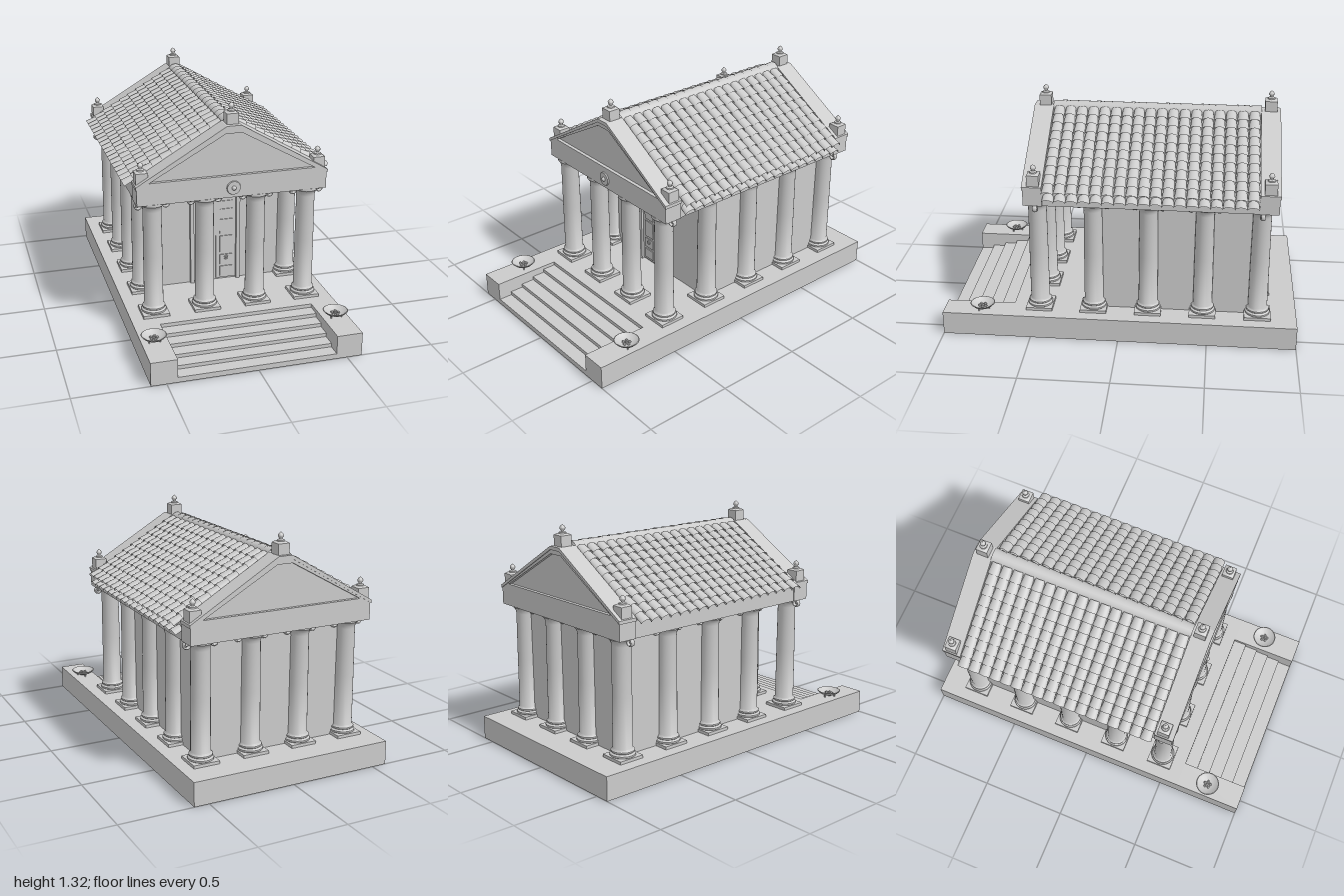
import * as THREE from 'three';
import { mergeGeometries, toCreasedNormals } from 'three/addons/utils/BufferGeometryUtils.js';

const stone = new THREE.MeshStandardMaterial({ color: 0xcccccc });
const thin = new THREE.MeshStandardMaterial({ color: 0xcccccc, side: THREE.DoubleSide });

const FLOOR = 0.135, FRONT = 0.52, BACK = -0.865, MID = (FRONT + BACK) / 2;
const SLOPE = Math.PI / 6;

export function createModel() {
  const root = new THREE.Group();

  const add = (name, geo, x = 0, y = 0, z = 0, parent = root, mat = stone) => {
    const m = new THREE.Mesh(geo, mat);
    m.name = name;
    m.position.set(x, y, z);
    parent.add(m);
    return m;
  };
  // Box given by its min and max corners
  const block = (name, x0, x1, y0, y1, z0, z1, parent = root) =>
    add(name, new THREE.BoxGeometry(x1 - x0, y1 - y0, z1 - z0),
      (x0 + x1) / 2, (y0 + y1) / 2, (z0 + z1) / 2, parent);
  const group = (name, x, y, z, parent = root) => {
    const g = new THREE.Group();
    g.name = name;
    g.position.set(x, y, z);
    parent.add(g);
    return g;
  };
  const lathe = (pts, seg = 24) => toCreasedNormals(
    new THREE.LatheGeometry(pts.map(p => new THREE.Vector2(...p)), seg), 0.7);
  const polygon = pts => new THREE.Shape(pts.map(p => new THREE.Vector2(...p)));
  const extrude = (shape, depth) => new THREE.ExtrudeGeometry(shape, { depth, bevelEnabled: false });

  // Podium with a stair cut into its front
  block('podium', -0.585, 0.585, 0, FLOOR, -1, 0.61);
  for (const s of [-1, 1]) block('stairCheek', s > 0 ? 0.44 : -0.585, s > 0 ? 0.585 : -0.44, 0, FLOOR, 0.61, 1);
  for (let i = 0; i < 5; i++)
    block('step', -0.44, 0.44, 0, 0.114 - i * 0.021, 0.61 + i * 0.078, 0.61 + (i + 1) * 0.078);

  // Inner chamber
  block('chamberWalls', -0.43, 0.43, FLOOR, 0.81, -0.775, 0.15);

  // Double door
  const door = group('door', 0, 0, 0.15);
  block('doorLintel', -0.15, 0.15, 0.655, 0.69, -0.01, 0.02, door);
  for (const s of [-1, 1]) {
    const span = (a, b) => (s > 0 ? [a, b] : [-b, -a]);
    block('doorJamb', ...span(0.128, 0.15), FLOOR, 0.655, -0.01, 0.02, door);
    block('doorLeaf', ...span(0.008, 0.126), FLOOR + 0.01, 0.65, -0.01, 0.008, door);
    [[0.6, 0.635], [0.535, 0.585], [0.43, 0.52], [0.31, 0.415], [0.235, 0.295], [0.16, 0.22]].forEach(([a, b]) =>
      block('doorPanel', ...span(0.03, 0.105), a, b, 0, 0.013, door));
    const ring = add('doorRing', new THREE.TorusGeometry(0.011, 0.003, 6, 16), s * 0.067, 0.275, 0.016, door);
    add('doorKnob', new THREE.SphereGeometry(0.006, 10, 8), 0, 0, 0, ring);
  }

  // Columns: plinth, moulded base, shaft, flared capital and a pair of scrolls
  const shaftGeo = lathe([[0, 0.015], [0.064, 0.015], [0.07, 0.02], [0.07, 0.029], [0.064, 0.034], [0.059, 0.037],
    [0.064, 0.041], [0.064, 0.049], [0.058, 0.053], [0.054, 0.06], [0.053, 0.35], [0.051, 0.615], [0.053, 0.63],
    [0.06, 0.645], [0.067, 0.652], [0.067, 0.667], [0, 0.667]]);
  const plinthGeo = new THREE.BoxGeometry(0.15, 0.017, 0.15);
  const scrollGeo = new THREE.TorusGeometry(0.017, 0.006, 8, 20).scale(1, 1, 2.2);
  const eyeGeo = new THREE.SphereGeometry(0.007, 10, 8);
  const column = (x, z, turned) => {
    const c = group('column', x, FLOOR, z);
    if (turned) c.rotation.y = Math.PI / 2;
    add('plinth', plinthGeo, 0, 0.0085, 0, c);
    add('shaft', shaftGeo, 0, 0, 0, c);
    for (const s of [-1, 1]) {
      add('scroll', scrollGeo, s * 0.077, 0.645, 0, c);
      add('scrollEye', eyeGeo, s * 0.077, 0.645, 0, c);
    }
  };
  const zs = [0.457, 0.148, -0.161, -0.47, -0.78];
  for (const x of [-0.44, -0.147, 0.147, 0.44]) {
    column(x, zs[0], false);
    column(x, zs[4], false);
  }
  for (const x of [-0.44, 0.44]) for (const z of zs.slice(1, 4)) column(x, z, true);

  // Entablature and roof core, in one pentagonal section
  const core = polygon([[-0.53, 0.8], [0.53, 0.8], [0.53, 0.895], [0.04, 1.185], [-0.04, 1.185], [-0.53, 0.895]]);
  add('entablatureAndRoof', extrude(core, FRONT - BACK - 0.04), 0, 0, BACK + 0.02);

  // Gable ends with a sunken triangle and a raking moulding
  const gable = polygon([[-0.535, 0.8], [0.535, 0.8], [0.535, 0.91], [0.04, 1.2], [-0.04, 1.2], [-0.535, 0.91]]);
  gable.holes.push(new THREE.Path([[-0.468, 0.925], [-0.045, 1.163], [0.045, 1.163], [0.468, 0.925]]
    .map(p => new THREE.Vector2(...p))));
  const rake = polygon([[-0.54, 0.91], [-0.54, 0.892], [-0.04, 1.186], [0.04, 1.186], [0.54, 0.892],
    [0.54, 0.91], [0.04, 1.206], [-0.04, 1.206]]);
  for (const [z0, out] of [[FRONT - 0.105, 0], [BACK, -0.005]]) {
    add('gable', extrude(gable, 0.105), 0, 0, z0);
    add('rakeMoulding', extrude(rake, 0.11), 0, 0, z0 + out);
  }

  // Round boss on the front beam
  const boss = group('boss', 0, 0.855, FRONT);
  add('bossDisc', new THREE.CylinderGeometry(0.037, 0.04, 0.008, 32).rotateX(Math.PI / 2), 0, 0, 0.003, boss);
  add('bossKnob', new THREE.SphereGeometry(0.013, 16, 10), 0, 0, 0.007, boss);

  // Roof tiles: tapered half pipes, overlapping down each slope
  const ROWS = 18, PER_ROW = 10, PITCH = 0.065, Z0 = MID - PITCH * (ROWS - 1) / 2, RUN = 0.617 / PER_ROW;
  const pipe = (rLow, rHigh, len) =>
    new THREE.CylinderGeometry(rLow, rHigh, len, 10, 1, true, Math.PI, Math.PI).rotateZ(-Math.PI / 2);
  const tile = pipe(0.034, 0.028, 0.07).scale(1, 0.75, 1).rotateZ(0.06 - SLOPE);
  const tiles = [];
  for (let r = 0; r < ROWS; r++) for (let i = 0; i < PER_ROW; i++) {
    const d = (i + 0.5) * RUN;
    const g = tile.clone().translate(0.04 + d * Math.cos(SLOPE), 1.192 - d * Math.sin(SLOPE), 0);
    const z = Z0 + r * PITCH;
    tiles.push(g.clone().rotateY(Math.PI).translate(0, 0, z), g.translate(0, 0, z));
  }
  add('roofTiles', mergeGeometries(tiles), 0, 0, 0, root, thin);

  // Ridge tiles, and a short eave row along the left beam
  const ridge = [], eave = [];
  for (let r = 0; r < ROWS; r++) {
    const z = Z0 + r * PITCH;
    ridge.push(pipe(0.047, 0.042, 0.075).rotateY(Math.PI / 2).translate(0, 1.181, z));
    eave.push(tile.clone().translate(0.538, 0.849, z));
  }
  add('ridgeTiles', mergeGeometries(ridge), 0, 0, 0, root, thin);
  add('eaveTiles', mergeGeometries(eave), 0, 0, 0, root, thin);

  // Roof finials on square pedestals
  const finialGeo = lathe([[0.022, 0], [0.02, 0.008], [0.009, 0.013], [0.009, 0.018], [0.015, 0.025],
    [0.016, 0.032], [0.011, 0.041], [0.004, 0.046], [0, 0.05]], 16);
  const capGeo = new THREE.CylinderGeometry(0.03, 0.047, 0.008, 4).rotateY(Math.PI / 4);
  for (const z of [FRONT - 0.057, BACK + 0.05]) for (const x of [-0.5, 0, 0.5]) {
    const top = x ? 0.975 : 1.265;
    const f = group('finial', x, top, z);
    add('pedestal', new THREE.BoxGeometry(0.067, 0.09, 0.067), 0, -0.045, 0, f);
    add('pedestalCap', capGeo, 0, 0.004, 0, f);
    add('finialBud', finialGeo, 0, 0.006, 0, f);
  }

  // Fire bowls beside the stair, on three feet, with coals
  const bowlGeo = lathe([[0, 0.008], [0.03, 0.011], [0.055, 0.023], [0.07, 0.038], [0.066, 0.04],
    [0.052, 0.028], [0.028, 0.017], [0, 0.014]], 28);
  for (const s of [-1, 1]) {
    const b = group('fireBowl', s * 0.515, FLOOR, 0.78);
    add('bowl', bowlGeo, 0, 0, 0, b, thin);
    for (let i = 0; i < 3; i++) {
      const a = i * Math.PI * 2 / 3 + 0.5;
      add('foot', new THREE.CylinderGeometry(0.005, 0.004, 0.018, 8),
        0.035 * Math.cos(a), 0.009, 0.035 * Math.sin(a), b);
    }
    for (let i = 0; i < 6; i++) {
      const a = i * Math.PI * 2 / 5, r = i < 5 ? 0.018 : 0;
      add('coal', new THREE.DodecahedronGeometry(0.009), r * Math.cos(a), 0.021, r * Math.sin(a), b)
        .rotation.set(i, i * 2, 0);
    }
  }
  return root;
}
